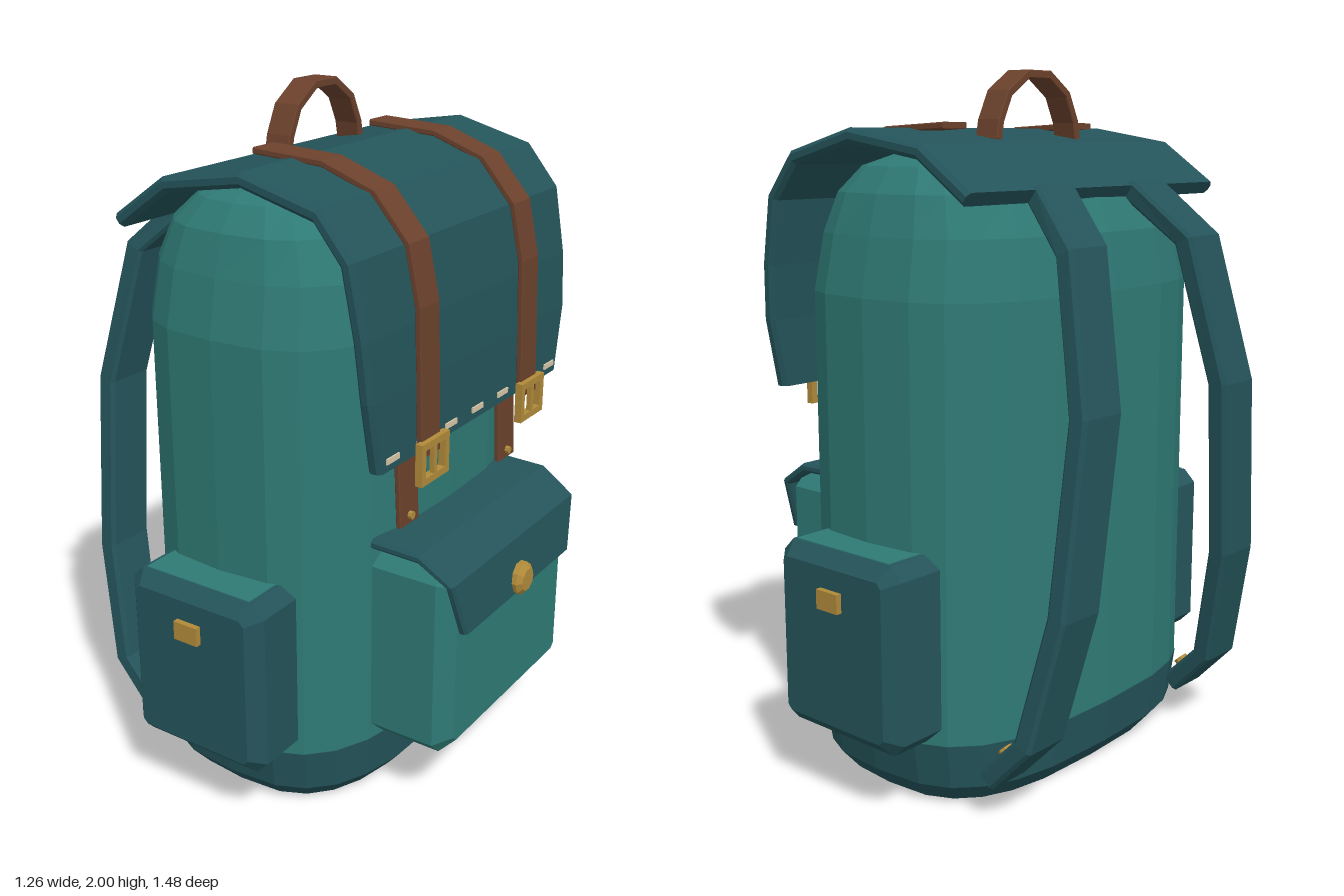
import * as THREE from 'three';

const mat = (name, color) => {
  const m = new THREE.MeshStandardMaterial({ color, flatShading: true });
  m.name = name;
  return m;
};

// Skin a list of convex rings (counter-clockwise around the travel direction) with end caps
function loft(rings) {
  const n = rings[0].length, last = (rings.length - 1) * n, index = [];
  for (let i = 0; i < rings.length - 1; i++) {
    for (let k = 0; k < n; k++) {
      const a = i * n + k, b = i * n + (k + 1) % n;
      index.push(a, b, b + n, a, b + n, a + n);
    }
  }
  for (let k = 1; k < n - 1; k++) index.push(0, k + 1, k, last, last + k, last + k + 1);
  const g = new THREE.BufferGeometry().setFromPoints(rings.flat());
  g.setIndex(index);
  const flat = g.toNonIndexed();
  flat.computeVertexNormals();
  return flat;
}

// Flat strap with chamfered edges; points are [x, y, halfWidth, z]
function ribbon(points, thickness, bevel) {
  const t = thickness / 2;
  return loft(points.map(([x, y, w, z = 0], i) => {
    const p = points[Math.max(i - 1, 0)], q = points[Math.min(i + 1, points.length - 1)];
    const len = Math.hypot(q[0] - p[0], q[1] - p[1]);
    const nx = -(q[1] - p[1]) / len, ny = (q[0] - p[0]) / len;
    return [
      [t, -w + bevel], [t, w - bevel], [t - bevel, w], [-t + bevel, w],
      [-t, w - bevel], [-t, -w + bevel], [-t + bevel, -w], [t - bevel, -w],
    ].map(([n, s]) => new THREE.Vector3(x + nx * n, y + ny * n, z + s));
  }));
}

// Horizontal rounded-rectangle ring of the bag
function bagRing(y, a, b) {
  const ring = [], sides = 24, power = 2 / 3;
  const curve = v => Math.sign(v) * Math.pow(Math.abs(v), power);
  for (let i = 0; i < sides; i++) {
    const u = i / sides * Math.PI * 2;
    ring.push(new THREE.Vector3(-0.03 + a * curve(Math.sin(u)), y, b * curve(Math.cos(u))));
  }
  return ring;
}

// Chamfered box standing on y = 0, running from z = 0 to z = depth
function pouch(width, height, depth, bevel) {
  const x = width / 2 - bevel, y0 = bevel, y1 = height - bevel, c = 0.015;
  const s = new THREE.Shape([
    [-x + c, y0], [x - c, y0], [x, y0 + c], [x, y1 - c],
    [x - c, y1], [-x + c, y1], [-x, y1 - c], [-x, y0 + c],
  ].map(p => new THREE.Vector2(...p)));
  return new THREE.ExtrudeGeometry(s, {
    depth: depth - 2 * bevel, bevelEnabled: true, bevelSize: bevel, bevelThickness: bevel, bevelSegments: 1,
  }).translate(0, 0, bevel);
}

// Rectangular buckle frame facing +x
function buckleFrame(width, height, bar, depth) {
  const rect = (w, h) => [[-w, -h], [w, -h], [w, h], [-w, h]].map(([x, y]) => new THREE.Vector2(x / 2, y / 2));
  const s = new THREE.Shape(rect(width, height));
  s.holes.push(new THREE.Path(rect(width - 2 * bar, height - 2 * bar).reverse()));
  return new THREE.ExtrudeGeometry(s, { depth, bevelEnabled: false }).rotateY(Math.PI / 2);
}

export function createModel() {
  const canvas = mat('teal canvas', 0x2f7a75);
  const dark = mat('dark teal canvas', 0x24545a);
  const leather = mat('brown leather', 0x6b412c);
  const brass = mat('brass', 0xb08a3a);
  const thread = mat('pale thread', 0xd8c8a8);

  const model = new THREE.Group();
  model.name = 'backpack';
  const add = (name, geometry, material, x = 0, y = 0, z = 0) => {
    const m = new THREE.Mesh(geometry, material);
    m.name = name;
    m.position.set(x, y, z);
    model.add(m);
    return m;
  };

  // Main bag and its darker base
  add('bagBase', loft([[0, 0.33, 0.52], [0.06, 0.38, 0.57], [0.19, 0.392, 0.592]].map(r => bagRing(...r))), dark);
  add('bagBody', loft([
    [0.19, 0.39, 0.59], [1.4, 0.39, 0.59], [1.56, 0.37, 0.56],
    [1.67, 0.32, 0.53], [1.74, 0.24, 0.48], [1.775, 0.13, 0.4],
  ].map(r => bagRing(...r))), canvas);

  // Lid folded over the top and down the front
  add('lid', ribbon([
    [-0.365, 1.665, 0.555], [-0.2, 1.78, 0.555], [0.05, 1.82, 0.555], [0.28, 1.76, 0.555],
    [0.37, 1.65, 0.555], [0.405, 1.46, 0.55], [0.418, 1.3, 0.54], [0.42, 1.1, 0.5],
  ], 0.042, 0.012), dark);

  // Stitches along the lid edge
  for (let i = -3; i <= 3; i++) {
    add('stitch', new THREE.BoxGeometry(0.009, 0.016, 0.06), thread, 0.441, 1.13, i * 0.148);
  }

  // Carry handle, arched across the top
  add('carryHandle', ribbon([
    [-0.175, 1.81, 0.04], [-0.165, 1.86, 0.04], [-0.128, 1.935, 0.04], [-0.047, 1.988, 0.04],
    [0.047, 1.988, 0.04], [0.128, 1.935, 0.04], [0.165, 1.86, 0.04], [0.175, 1.81, 0.04],
  ], 0.024, 0.003).rotateY(Math.PI / 2), leather, -0.11);

  // Front pocket with flap and button
  add('frontPocket', pouch(0.72, 0.59, 0.295, 0.045).rotateY(Math.PI / 2), canvas, 0.28, 0.2);
  add('frontPocketFlap', ribbon([
    [0.33, 0.822, 0.372], [0.48, 0.818, 0.372], [0.575, 0.757, 0.365], [0.592, 0.6, 0.315],
  ], 0.028, 0.008), dark);
  const button = new THREE.LatheGeometry(
    [[0, -0.03], [0.05, -0.03], [0.05, 0.01], [0.034, 0.024], [0, 0.024]].map(p => new THREE.Vector2(...p)), 10);
  add('frontPocketButton', button.rotateZ(-Math.PI / 2), brass, 0.604, 0.64);

  for (const side of [-1, 1]) {
    const z = side * 0.28;

    // Closing straps, buckles and rivets
    add('lidStrap', ribbon([
      [-0.08, 1.847, 0.048], [0.14, 1.836, 0.048], [0.3, 1.779, 0.048],
      [0.403, 1.66, 0.048], [0.438, 1.5, 0.048], [0.452, 1.09, 0.048],
    ], 0.018, 0.003), leather, 0, 0, z);
    add('lowerStrap', ribbon([[0.375, 1.15, 0.048], [0.379, 1.09, 0.048], [0.39, 0.87, 0.048]], 0.016, 0.003),
      leather, 0, 0, z);
    add('strapRivet', new THREE.CylinderGeometry(0.012, 0.012, 0.02, 8).rotateZ(Math.PI / 2), brass, 0.398, 0.895, z);
    add('buckle', buckleFrame(0.14, 0.12, 0.02, 0.022), brass, 0.453, 1.08, z);
    add('bucklePin', new THREE.BoxGeometry(0.014, 0.1, 0.016), brass, 0.467, 1.08, z);

    // Side pockets with a lighter top and a clasp
    add('sidePocket', pouch(0.46, 0.53, 0.225, 0.04).rotateY(side < 0 ? Math.PI : 0), dark, -0.03, 0.2, side * 0.5);
    add('sidePocketTop', new THREE.BoxGeometry(0.36, 0.008, 0.12), canvas, -0.03, 0.729, side * 0.624);
    add('sidePocketClasp', new THREE.BoxGeometry(0.08, 0.055, 0.03), brass, -0.03, 0.603, side * 0.727);

    // Shoulder straps, bowing out behind the back
    add('shoulderStrap', ribbon([
      [-0.39, 0.12, 0.075, side * 0.44], [-0.51, 0.245, 0.078, side * 0.43], [-0.585, 0.6, 0.08, side * 0.385],
      [-0.602, 1.12, 0.08, side * 0.325], [-0.51, 1.53, 0.08, side * 0.27], [-0.355, 1.675, 0.08, side * 0.21],
    ], 0.06, 0.01), dark);
    const rivet = add('shoulderStrapRivet', new THREE.CylinderGeometry(0.022, 0.022, 0.03, 8), brass,
      -0.4, 0.175, side * 0.43);
    rivet.rotation.z = -Math.PI / 4;
  }
  return model;
}
